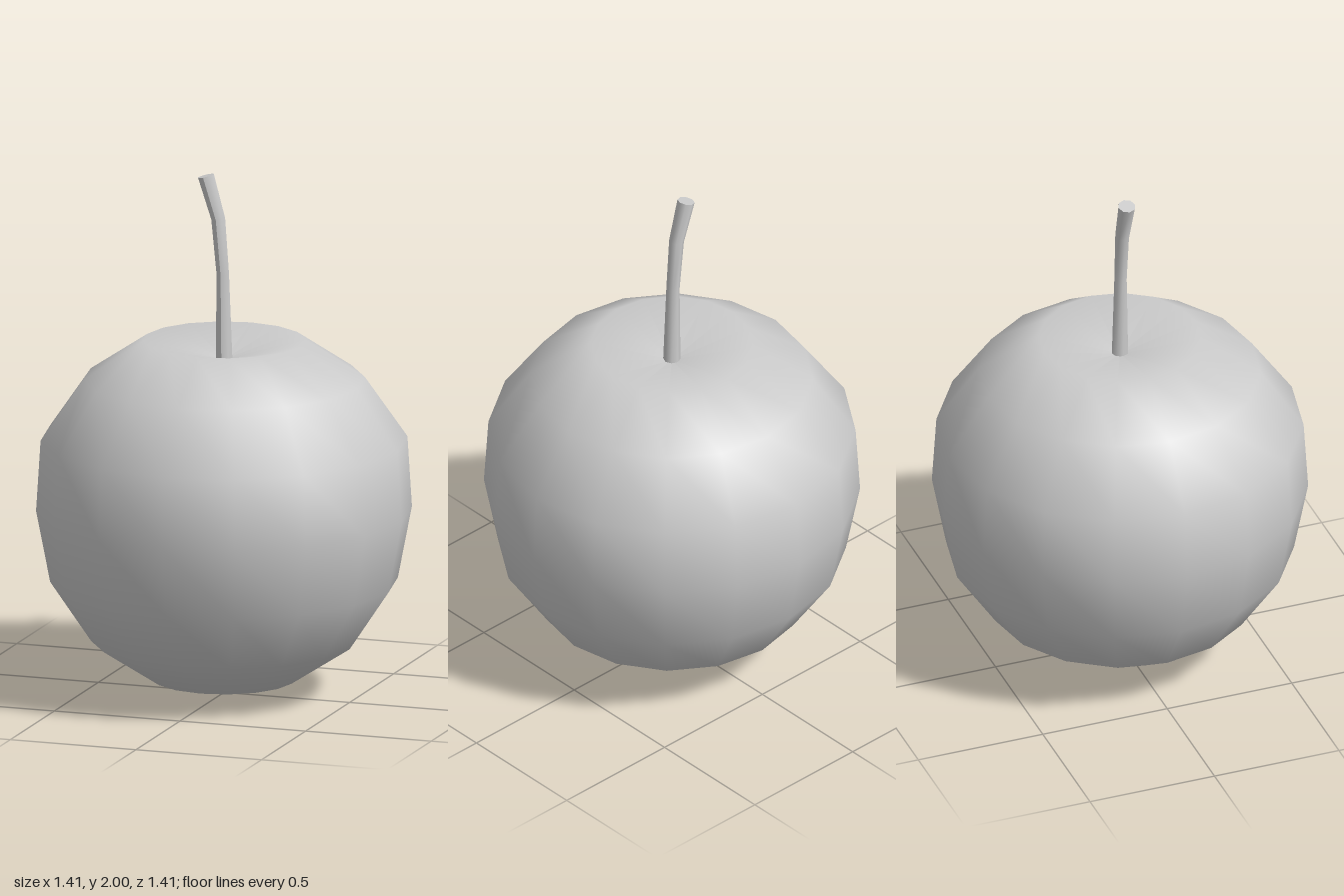
import * as THREE from 'three';

export function createModel() {
  const group = new THREE.Group();
  const material = new THREE.MeshStandardMaterial({ color: 0xcccccc });

  // Fruit body: a 16-sided lathe with a shallow dent at the top
  const profile = [
    [0, 0.005], [0.27, 0.06], [0.5, 0.21], [0.654, 0.44], [0.707, 0.715],
    [0.69, 0.985], [0.53, 1.215], [0.305, 1.365], [0, 1.29],
  ].map(([r, y]) => new THREE.Vector2(r, y));
  const body = new THREE.Mesh(new THREE.LatheGeometry(profile, 16), material);
  body.name = 'fruitBody';
  group.add(body);

  // Stem: a cylinder whose rings follow a bend; each ring is x, y, radius, tilt
  const rings = [
    [0.001, 1.28, 0.033, 0],
    [-0.005, 1.62, 0.025, 0.06],
    [-0.023, 1.83, 0.028, 0.17],
    [-0.072, 1.992, 0.033, 0.25],
  ];
  const stemGeometry = new THREE.CylinderGeometry(1, 1, 3, 8, 3);
  const pos = stemGeometry.attributes.position;
  for (let i = 0; i < pos.count; i++) {
    const [x, y, radius, tilt] = rings[Math.round(pos.getY(i) + 1.5)];
    const across = pos.getX(i) * radius;
    pos.setXYZ(i, x + across * Math.cos(tilt), y + across * Math.sin(tilt), pos.getZ(i) * radius);
  }
  stemGeometry.computeVertexNormals();
  const stem = new THREE.Mesh(stemGeometry, material);
  stem.name = 'stem';
  group.add(stem);

  return group;
}
